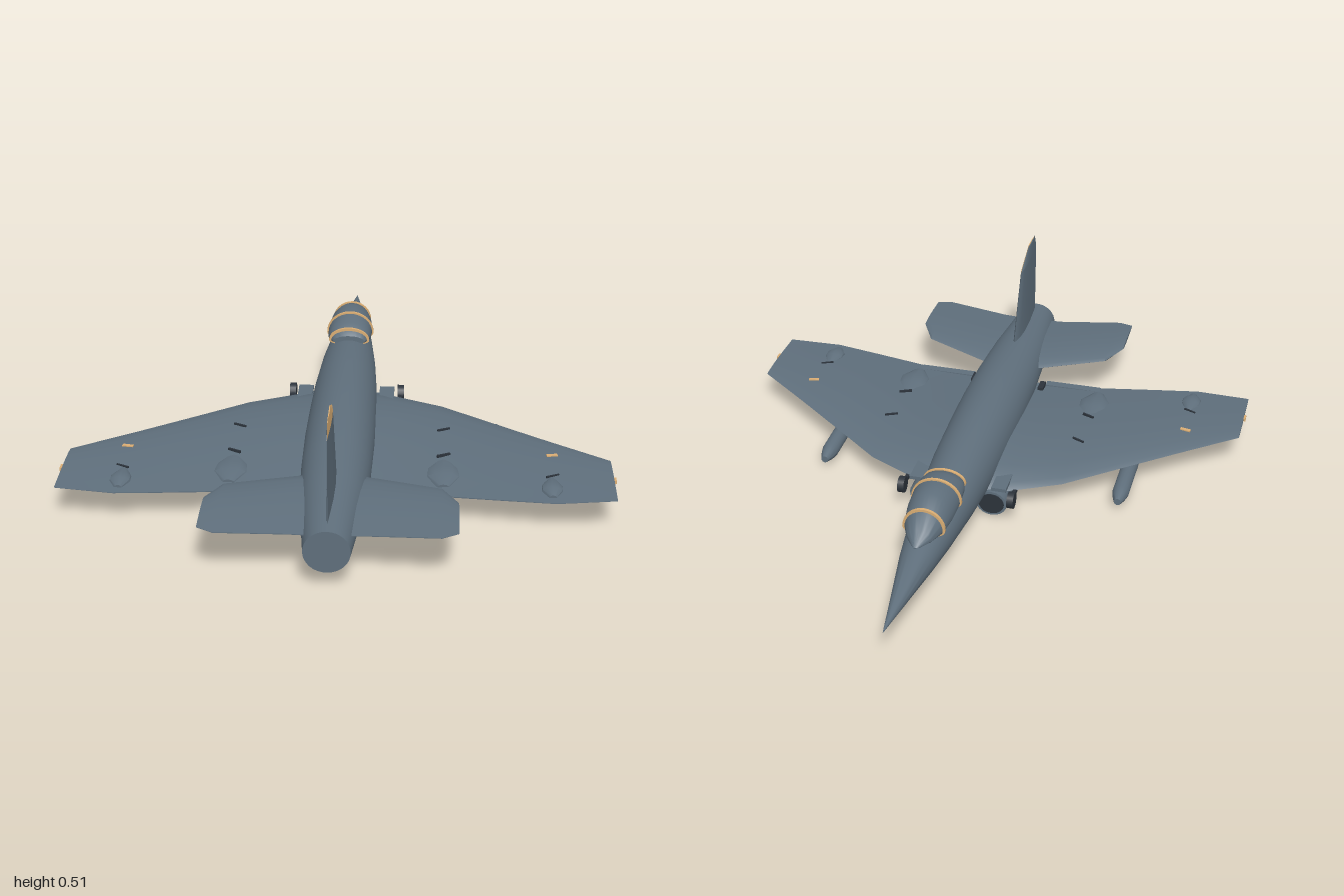
import * as THREE from 'three';
import { toCreasedNormals } from 'three/addons/utils/BufferGeometryUtils.js';

const V = (x, y, z) => new THREE.Vector3(x, y, z);

// Closed loft through rings of equal length, with capped ends, facing outwards
function loft(rings, crease = 0.6) {
  const n = rings[0].length, pos = [], idx = [];
  rings.forEach(r => r.forEach(p => pos.push(p.x, p.y, p.z)));
  for (let i = 0; i < rings.length - 1; i++) {
    for (let j = 0; j < n; j++) {
      const a = i * n + j, b = i * n + (j + 1) % n;
      idx.push(a, b, a + n, b, b + n, a + n);
    }
  }
  [0, rings.length - 1].forEach((k, end) => {
    const c = rings[k].reduce((s, p) => s.add(p), V(0, 0, 0)).divideScalar(n);
    const ci = pos.length / 3;
    pos.push(c.x, c.y, c.z);
    for (let j = 0; j < n; j++) {
      const a = k * n + j, b = k * n + (j + 1) % n;
      if (end) idx.push(a, b, ci); else idx.push(b, a, ci);
    }
  });
  const at = i => V(pos[3 * i], pos[3 * i + 1], pos[3 * i + 2]);
  let volume = 0;
  for (let i = 0; i < idx.length; i += 3) volume += at(idx[i]).dot(at(idx[i + 1]).cross(at(idx[i + 2])));
  if (volume < 0) idx.reverse();
  const g = new THREE.BufferGeometry();
  g.setAttribute('position', new THREE.Float32BufferAttribute(pos, 3));
  g.setIndex(idx);
  return toCreasedNormals(g, crease);
}

// Elliptical ring across the z axis; the lower half may be flattened
const oval = (x, y, z, rx, ry, n = 32, lower = 1) => Array.from({ length: n }, (_, i) => {
  const a = i / n * Math.PI * 2, h = Math.sin(a) * ry;
  return V(x + Math.cos(a) * rx, y + (h < 0 ? h * lower : h), z);
});

// Thin aerofoil outline as [z, offset] pairs
function foil(lead, trail, t) {
  const shape = [[0, 0], [0.04, 0.4], [0.15, 0.8], [0.35, 1], [0.6, 0.8], [0.85, 0.35], [1, 0.06]];
  const under = shape.slice(1).reverse().map(([u, h]) => [u, -h]);
  return [...shape, ...under].map(([u, h]) => [lead + (trail - lead) * u, h * t / 2]);
}

// Stations: [x, leading z, trailing z, y, thickness]
const surface = (s, stations) => loft(stations.map(([x, a, b, y, t]) =>
  foil(a, b, t).map(([z, h]) => V(s * x, y + h, z))), 0.5);

// Stations: [y, leading z, trailing z, thickness]; one side of the centre plane
const halfFin = (s, stations) => loft(stations.map(([y, a, b, t]) =>
  foil(a, b, t).map(([z, h]) => V(s * Math.max(h, 0), y, z))), 0.5);

export function createModel() {
  const group = new THREE.Group();
  const mat = (name, color) => {
    const m = new THREE.MeshStandardMaterial({ color });
    m.name = name;
    return m;
  };
  const slate = mat('slate', 0x5f6f7c);
  const dark = mat('darkMetal', 0x2c333b);
  const tan = mat('tan', 0xdbae74);
  const add = (name, geometry, material, x = 0, y = 0, z = 0) => {
    const m = new THREE.Mesh(geometry, material);
    m.name = name;
    m.position.set(x, y, z);
    group.add(m);
    return m;
  };

  // Fuselage: [z, bottom, top, half width]
  const body = [
    [-1, 0.128, 0.13, 0.001], [-0.82, 0.103, 0.162, 0.029], [-0.65, 0.08, 0.192, 0.056],
    [-0.5, 0.06, 0.212, 0.075], [-0.3, 0.037, 0.235, 0.094], [-0.1, 0.018, 0.248, 0.106],
    [0.1, 0.012, 0.251, 0.111], [0.3, 0.016, 0.25, 0.113], [0.5, 0.024, 0.238, 0.11],
    [0.7, 0.036, 0.222, 0.1], [0.85, 0.048, 0.208, 0.085], [1, 0.062, 0.196, 0.07]];
  add('fuselage', loft(body.map(([z, b, t, w]) => oval(0, (b + t) / 2, z, w, (t - b) / 2))), slate);

  // Canopy: [z, top, half width], sunk into the fuselage
  const canopy = [
    [-0.665, 0.2, 0.006], [-0.62, 0.234, 0.04], [-0.565, 0.272, 0.064], [-0.5, 0.293, 0.074],
    [-0.42, 0.291, 0.078], [-0.36, 0.279, 0.075], [-0.325, 0.268, 0.066], [-0.305, 0.25, 0.055]];
  const base = z => 0.197 + (z + 0.665) * 0.09;
  add('canopy', loft(canopy.map(([z, t, w]) => oval(0, base(z), z, w, t - base(z), 32, 0.4))), slate);
  for (const [z, t, w] of [canopy[2], canopy[4], canopy[6]]) {
    const ring = k => oval(0, base(z), z + k * 0.005, w + 0.005, t - base(z) + 0.005, 32, 0.4);
    add('canopyFrame', loft([ring(-1), ring(1)]), tan);
  }

  // Tail fin, with the tip painted on the left side only
  for (const s of [1, -1]) {
    const side = s > 0 ? 'left' : 'right';
    add(side + 'TailFin', halfFin(s, [[0.17, 0.6, 0.96, 0.028], [0.24, 0.63, 0.96, 0.026],
      [0.465, 0.72, 0.96, 0.014]]), slate);
    add(side + 'FinTip', halfFin(s, [[0.465, 0.72, 0.96, 0.014],
      [0.515, 0.83, 0.935, 0.007]]), s > 0 ? tan : slate);
  }

  for (const s of [1, -1]) {
    const side = s > 0 ? 'left' : 'right';

    // Main wing
    add(side + 'Wing', surface(s, [
      [0.07, -0.165, 0.58, 0.092, 0.115], [0.16, -0.14, 0.583, 0.095, 0.088],
      [0.33, -0.06, 0.59, 0.1, 0.055], [0.52, 0.09, 0.618, 0.106, 0.042],
      [0.68, 0.215, 0.64, 0.111, 0.03], [0.865, 0.355, 0.625, 0.117, 0.012]]), slate);

    // Tailplane
    add(side + 'Tailplane', surface(s, [
      [0.06, 0.57, 0.95, 0.155, 0.04], [0.11, 0.585, 0.95, 0.157, 0.04],
      [0.33, 0.672, 0.975, 0.17, 0.032], [0.38, 0.77, 0.955, 0.175, 0.014]]), slate);

    // Belly duct with intake
    const duct = [[-0.165, 0.055, 0.045], [0.1, 0.052, 0.045], [0.35, 0.06, 0.04], [0.58, 0.075, 0.015]];
    add(side + 'Duct', loft(duct.map(([z, y, r]) => oval(s * 0.115, y, z, r * 1.15, r, 20))), slate);
    add(side + 'Intake', loft([oval(s * 0.115, 0.055, -0.168, 0.043, 0.037, 20),
      oval(s * 0.115, 0.055, -0.16, 0.043, 0.037, 20)]), dark);
    add(side + 'IntakeLip', new THREE.BoxGeometry(0.05, 0.012, 0.1), slate, s * 0.14, 0.115, -0.12);

    // Underwing pod
    const pod = [[-0.03, 0.012], [0, 0.022], [0.03, 0.028], [0.22, 0.028], [0.26, 0.022], [0.28, 0.01]];
    add(side + 'Pod', loft(pod.map(([z, r]) => oval(s * 0.515, 0.041, z, r, r, 16))), slate);

    // Forward disc on its arm
    const disc = add(side + 'ForwardDisc', new THREE.CylinderGeometry(0.028, 0.028, 0.022, 16), dark, s * 0.187, 0.092, -0.182);
    disc.rotation.z = Math.PI / 2;
    add(side + 'ForwardArm', new THREE.BoxGeometry(0.012, 0.014, 0.1), dark, s * 0.185, 0.09, -0.13);

    // Rear brackets below the flaps
    const roller = add(side + 'RearRoller', new THREE.CylinderGeometry(0.022, 0.022, 0.03, 12), dark, s * 0.135, 0.046, 0.54);
    roller.rotation.z = Math.PI / 2;
    add(side + 'RearStrut', new THREE.BoxGeometry(0.014, 0.05, 0.014), dark, s * 0.135, 0.075, 0.55);

    // Raised flap edge and its root hinge
    add(side + 'FlapEdge', new THREE.BoxGeometry(0.2, 0.008, 0.03), slate, s * 0.235, 0.1, 0.575);
    add(side + 'FlapHinge', new THREE.BoxGeometry(0.02, 0.03, 0.05), dark, s * 0.125, 0.1, 0.54);

    // Six-sided actuator fairings sunk into the wing
    for (const [x, z, size, y] of [[0.335, 0.44, 1, 0.103], [0.67, 0.545, 0.62, 0.11]]) {
      const shape = [[-0.1, 0.02, 0.012], [-0.01, 0.056, 0.022], [0.04, 0.056, 0.022], [0.1, 0.02, 0.012]];
      add(side + 'Fairing', loft(shape.map(([d, w, h]) =>
        oval(s * x, y, z + d * size, w * size, h, 12))), slate);
    }

    // Small vanes and coloured marks
    for (const [x, z, y] of [[0.335, 0.18, 0.127], [0.335, 0.355, 0.122], [0.675, 0.48, 0.12]]) {
      const vane = add(side + 'Vane', new THREE.BoxGeometry(0.045, 0.012, 0.006), dark, s * x, y, z);
      vane.rotation.y = s * 0.45;
    }
    const mark = add(side + 'WingMark', new THREE.BoxGeometry(0.036, 0.006, 0.013), tan, s * 0.68, 0.126, 0.345);
    mark.rotation.y = s * 0.2;
    add(side + 'TipLight', new THREE.BoxGeometry(0.01, 0.01, 0.026), tan, s * 0.867, 0.117, 0.49);
  }
  return group;
}
